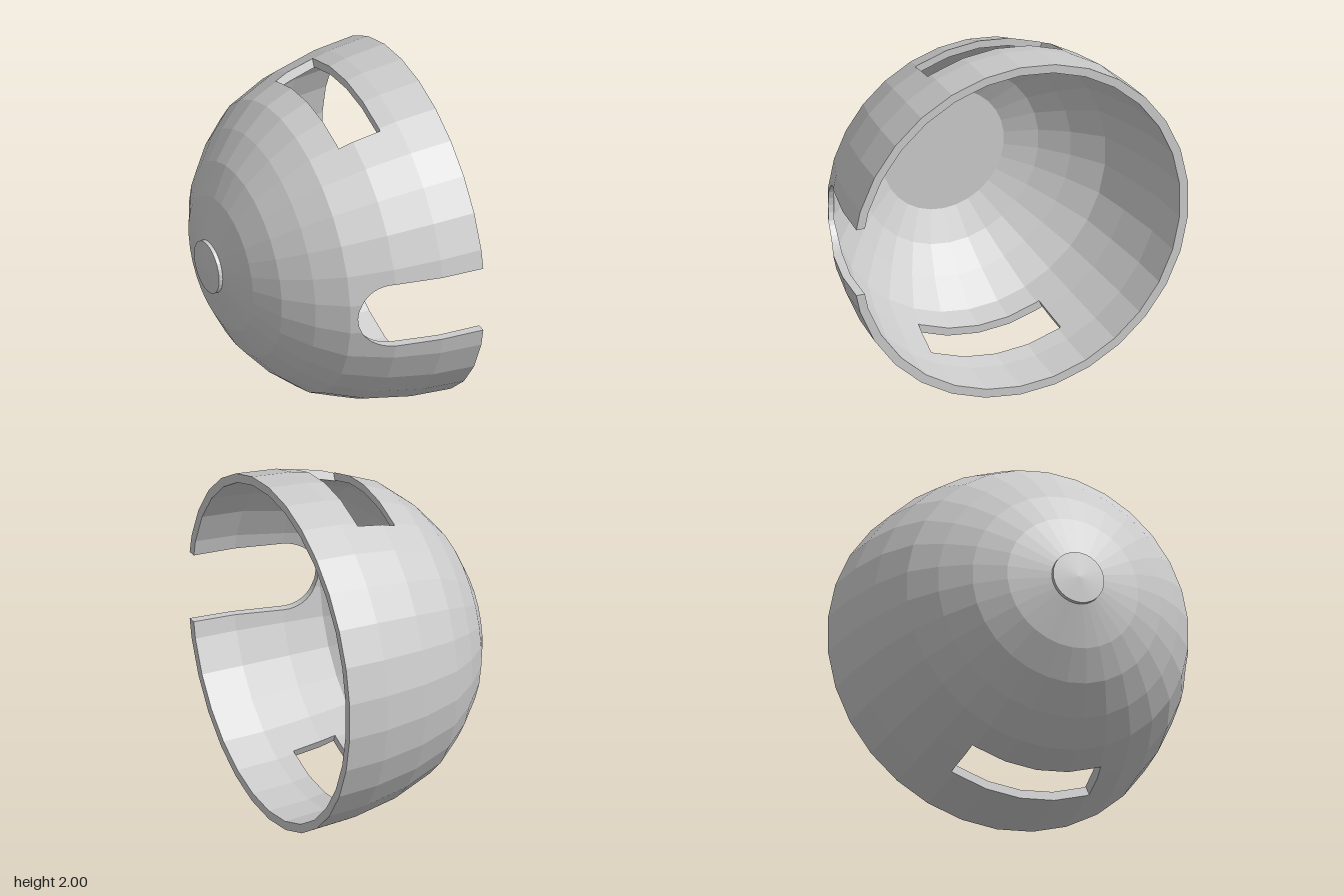
import * as THREE from 'three';

const RAD = Math.PI / 180;
const STEP = 12; // facet angle: 30 sides
// Shell profiles as [x, radius], opening at +x
const OUTER = [[-0.575, 0.15], [-0.51, 0.385], [-0.42, 0.555], [-0.29, 0.705], [-0.14, 0.83], [0.1, 0.925], [0.36, 0.98], [0.6, 1]];
const INNER = [[-0.471, 0], [-0.47, 0.36], [-0.385, 0.53], [-0.265, 0.67], [-0.11, 0.81], [0.1, 0.872], [0.36, 0.932], [0.6, 0.95]];
const WIN = { x0: 0.02, x1: 0.26, half: 25 };            // top and bottom windows
const SLOT = { start: -0.11, x: 0.1, r: 0.2, mid: 90 };  // round-ended slot on the front
const mix = THREE.MathUtils.lerp;

function radiusAt(profile, x) {
  let i = 1;
  while (i < profile.length - 1 && x > profile[i][0]) i++;
  const [a, b] = [profile[i - 1], profile[i]];
  return mix(a[1], b[1], (x - a[0]) / (b[0] - a[0]));
}

// Point on the faceted surface at angle t (degrees from the top towards the front)
function onShell(profile, x, t) {
  const mid = Math.floor(t / STEP) * STEP + STEP / 2;
  const r = radiusAt(profile, x) * Math.cos(STEP / 2 * RAD) / Math.cos((t - mid) * RAD);
  return [x, r * Math.cos(t * RAD), r * Math.sin(t * RAD)];
}

// Front columns: |c| = 1 is the first facet edge, 2 the slot edge, 3 the next facet edge
function onFront(profile, x, c) {
  const r = radiusAt(profile, x), a = Math.abs(c);
  const y6 = r * Math.sin(6 * RAD), y18 = r * Math.sin(18 * RAD);
  const z6 = r * Math.cos(6 * RAD), z18 = r * Math.cos(18 * RAD);
  const y = a <= 1 ? a * y6 : a <= 2 ? mix(y6, SLOT.r, a - 1) : mix(SLOT.r, y18, a - 2);
  const z = a <= 1 ? z6 : mix(z6, z18, (y - y6) / (y18 - y6));
  return [x, Math.sign(c) * y, z];
}

// Point where a front column meets the round end of the slot
function slotEnd(profile, c) {
  let x = SLOT.x;
  for (let i = 0; i < 25; i++) {
    const y = onFront(profile, x, c)[1] / SLOT.r;
    x = SLOT.x - SLOT.r * Math.sqrt(Math.max(0, 1 - y * y));
  }
  return onFront(profile, x, c);
}

function createShell(material) {
  const pos = [];
  const quad = (a, b, c, d, flip) => {
    if (flip) [b, d] = [d, b];
    pos.push(...a, ...b, ...c, ...a, ...c, ...d);
  };

  const angles = [WIN.half, 180 - WIN.half, 180 + WIN.half, 360 - WIN.half];
  for (let t = 0; t <= 360; t += STEP) angles.push(t);
  angles.sort((a, b) => a - b);
  const inWindow = t => Math.abs(Math.cos(t * RAD)) > Math.cos(WIN.half * RAD);
  const inFront = t => Math.abs(t - SLOT.mid) < 18;

  const half = [0.5, 1, 1.2, 1.4, 1.57, 1.71, 1.82, 1.91, 1.97, 2, 3];
  const columns = [...half.map(c => -c).reverse(), 0, ...half];

  // Outer and inner skins
  for (const profile of [OUTER, INNER]) {
    const flip = profile === INNER;
    const rows = [...new Set([...profile.map(p => p[0]), WIN.x0, WIN.x1, SLOT.start])].sort((a, b) => a - b);
    for (let j = 1; j < rows.length; j++) {
      const [x0, x1] = [rows[j - 1], rows[j]];
      const xm = (x0 + x1) / 2;
      for (let i = 1; i < angles.length; i++) {
        const [t0, t1] = [angles[i - 1], angles[i]];
        const tm = (t0 + t1) / 2;
        if (inFront(tm) && xm > SLOT.start) continue;
        if (inWindow(tm) && xm > WIN.x0 && xm < WIN.x1) continue;
        quad(onShell(profile, x0, t0), onShell(profile, x0, t1), onShell(profile, x1, t1), onShell(profile, x1, t0), flip);
      }
      // Strips above and below the slot
      if (xm > SLOT.start) {
        for (const [c0, c1] of [[3, 2], [-2, -3]]) {
          quad(onFront(profile, x0, c0), onFront(profile, x0, c1), onFront(profile, x1, c1), onFront(profile, x1, c0), flip);
        }
      }
    }
    // Skin up to the round slot end
    for (let i = 2; i < columns.length - 1; i++) {
      const [c0, c1] = [columns[i], columns[i - 1]];
      quad(onFront(profile, SLOT.start, c0), onFront(profile, SLOT.start, c1), slotEnd(profile, c1), slotEnd(profile, c0), flip);
    }
  }

  // Wall through the thickness between two surface points
  const wall = (at, a, b, flip) => quad(at(OUTER, ...a), at(OUTER, ...b), at(INNER, ...b), at(INNER, ...a), flip);

  // Opening rim and window ends
  for (let i = 1; i < angles.length; i++) {
    const [t0, t1] = [angles[i - 1], angles[i]];
    const tm = (t0 + t1) / 2;
    if (!inFront(tm)) wall(onShell, [0.6, t0], [0.6, t1]);
    if (inWindow(tm)) {
      wall(onShell, [WIN.x0, t0], [WIN.x0, t1]);
      wall(onShell, [WIN.x1, t0], [WIN.x1, t1], true);
    }
  }
  wall(onFront, [0.6, 3], [0.6, 2]);
  wall(onFront, [0.6, -2], [0.6, -3]);

  // Window sides, split at the profile ring
  for (const centre of [0, 180]) {
    for (const s of [-1, 1]) {
      const t = (centre + s * WIN.half + 360) % 360;
      wall(onShell, [WIN.x0, t], [SLOT.x, t], s < 0);
      wall(onShell, [SLOT.x, t], [WIN.x1, t], s < 0);
    }
  }

  // Slot sides and round end
  for (const [x0, x1] of [[SLOT.x, 0.36], [0.36, 0.6]]) {
    wall(onFront, [x0, 2], [x1, 2]);
    wall(onFront, [x0, -2], [x1, -2], true);
  }
  for (let i = 2; i < columns.length - 1; i++) wall(slotEnd, [columns[i]], [columns[i - 1]]);

  const geometry = new THREE.BufferGeometry();
  geometry.setAttribute('position', new THREE.Float32BufferAttribute(pos, 3));
  geometry.computeVertexNormals();
  const mesh = new THREE.Mesh(geometry, material);
  mesh.name = 'domeShell';
  return mesh;
}

export function createModel() {
  const model = new THREE.Group();
  model.name = 'slottedDome';
  const material = new THREE.MeshStandardMaterial({ color: 0xcccccc, flatShading: true, side: THREE.DoubleSide });

  const shell = createShell(material);
  shell.position.y = 1;
  model.add(shell);

  // Small button on the dome's crown
  const profile = [[0, 0.565], [0.15, 0.57], [0.15, 0.597], [0, 0.608]].map(p => new THREE.Vector2(...p));
  const button = new THREE.Mesh(new THREE.LatheGeometry(profile, 30), material);
  button.name = 'crownButton';
  button.rotation.z = Math.PI / 2;
  button.position.y = 1;
  model.add(button);

  return model;
}
